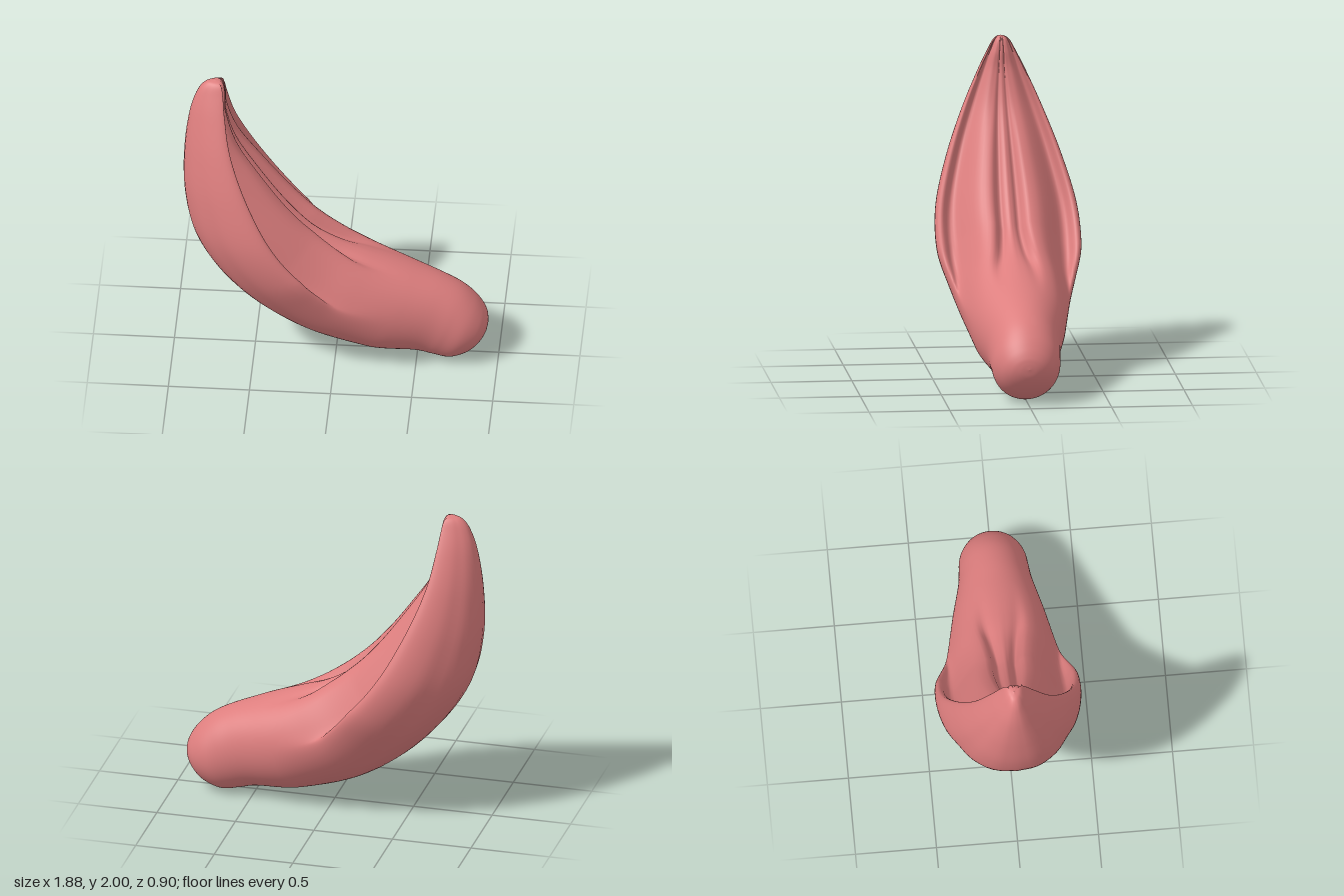
import * as THREE from 'three';

const flesh = new THREE.MeshStandardMaterial({ color: 0xdd7e7e });
flesh.name = 'rosy flesh';

// Stations from the pointed tip to the round bulb:
// back x, y | rim x, y | inner lobe x, y | half width | how hooded (0 round, 1 open)
const stations = [
  [-0.75, 2.0, -0.75, 2.0, -0.75, 2.0, 0, 0.9],
  [-0.81, 1.98, -0.705, 1.985, -0.703, 1.985, 0.045, 0.9],
  [-0.86, 1.91, -0.685, 1.92, -0.685, 1.91, 0.085, 0.9],
  [-0.905, 1.76, -0.678, 1.79, -0.68, 1.78, 0.15, 1],
  [-0.937, 1.5, -0.635, 1.57, -0.612, 1.57, 0.25, 1],
  [-0.937, 1.2, -0.53, 1.3, -0.47, 1.35, 0.355, 1],
  [-0.87, 0.9, -0.38, 1.02, -0.3, 1.12, 0.435, 1],
  [-0.7, 0.62, -0.2, 0.79, -0.14, 0.95, 0.447, 1],
  [-0.45, 0.37, -0.02, 0.65, 0.03, 0.83, 0.405, 0.75],
  [-0.15, 0.18, 0.18, 0.58, 0.22, 0.735, 0.35, 0.3],
  [0.2, 0.07, 0.47, 0.63, 0.47, 0.63, 0.285, 0],
  [0.47, 0.045, 0.65, 0.555, 0.65, 0.555, 0.232, 0],
  [0.58, 0.02, 0.77, 0.49, 0.77, 0.49, 0.217, 0],
  [0.69, 0.0, 0.85, 0.42, 0.85, 0.42, 0.205, 0],
  [0.8, 0.035, 0.9, 0.355, 0.9, 0.355, 0.165, 0],
  [0.875, 0.1, 0.925, 0.305, 0.925, 0.305, 0.115, 0],
  [0.92, 0.17, 0.933, 0.27, 0.933, 0.27, 0.06, 0],
  [0.935, 0.23, 0.935, 0.23, 0.935, 0.23, 0, 0],
];

// Half of the hooded section: width share, height from back to rim, pull to the inner lobe
const hood = [
  [0, 0, 0], [0.32, 0.04, 0], [0.59, 0.18, 0], [0.76, 0.36, 0], [0.9, 0.53, 0],
  [0.98, 0.72, 0], [1, 0.89, 0], [0.96, 0.99, 0], [0.89, 0.98, 0], [0.81, 0.85, 0.05],
  [0.7, 0.75, 0.3], [0.54, 0.85, 0.6], [0.38, 1, 0.9], [0.24, 1, 1], [0.13, 0.85, 0.7],
  [0.06, 0.9, 0.8], [0, 0.95, 0.85],
];

const curve = (points) =>
  new THREE.CatmullRomCurve3(points.map((p) => new THREE.Vector3(...p)), false, 'catmullrom', 0.5);

function buildBody() {
  const back = curve(stations.map((s) => [s[0], s[1], s[6]]));
  const rim = curve(stations.map((s) => [s[2], s[3], s[7]]));
  const lobe = curve(stations.map((s) => [s[4], s[5], 0]));
  const section = curve(hood);
  const rings = 136, half = 48, around = half * 2;
  const positions = [], index = [];
  for (let i = 0; i <= rings; i++) {
    const u = i / rings;
    const b = back.getPoint(u), r = rim.getPoint(u), t = lobe.getPoint(u);
    const width = Math.max(0, b.z), open = THREE.MathUtils.clamp(r.z, 0, 1);
    for (let j = 0; j < around; j++) {
      const side = j <= half ? 1 : -1;
      const v = (j <= half ? j : around - j) / half;
      const h = section.getPoint(v);
      // Blend the open hood section with a plain oval
      const oval = (1 - Math.cos(Math.PI * v)) / 2;
      const at = (k) => {
        const hooded = THREE.MathUtils.lerp(THREE.MathUtils.lerp(b[k], r[k], h.y), t[k], h.z);
        const round = THREE.MathUtils.lerp(b[k], t[k], oval);
        return THREE.MathUtils.lerp(round, hooded, open);
      };
      const z = width * THREE.MathUtils.lerp(Math.sin(Math.PI * v), h.x, open);
      positions.push(at('x'), at('y'), side * z);
      if (i < rings) {
        const a = i * around + j, c = i * around + ((j + 1) % around);
        index.push(a, a + around, c + around, a, c + around, c);
      }
    }
  }
  const geometry = new THREE.BufferGeometry();
  geometry.setAttribute('position', new THREE.Float32BufferAttribute(positions, 3));
  geometry.setIndex(index);
  geometry.computeVertexNormals();
  return geometry;
}

export function createModel() {
  const model = new THREE.Group();
  model.name = 'hoodedPod';
  const body = new THREE.Mesh(buildBody(), flesh);
  body.name = 'body';
  model.add(body);
  return model;
}
